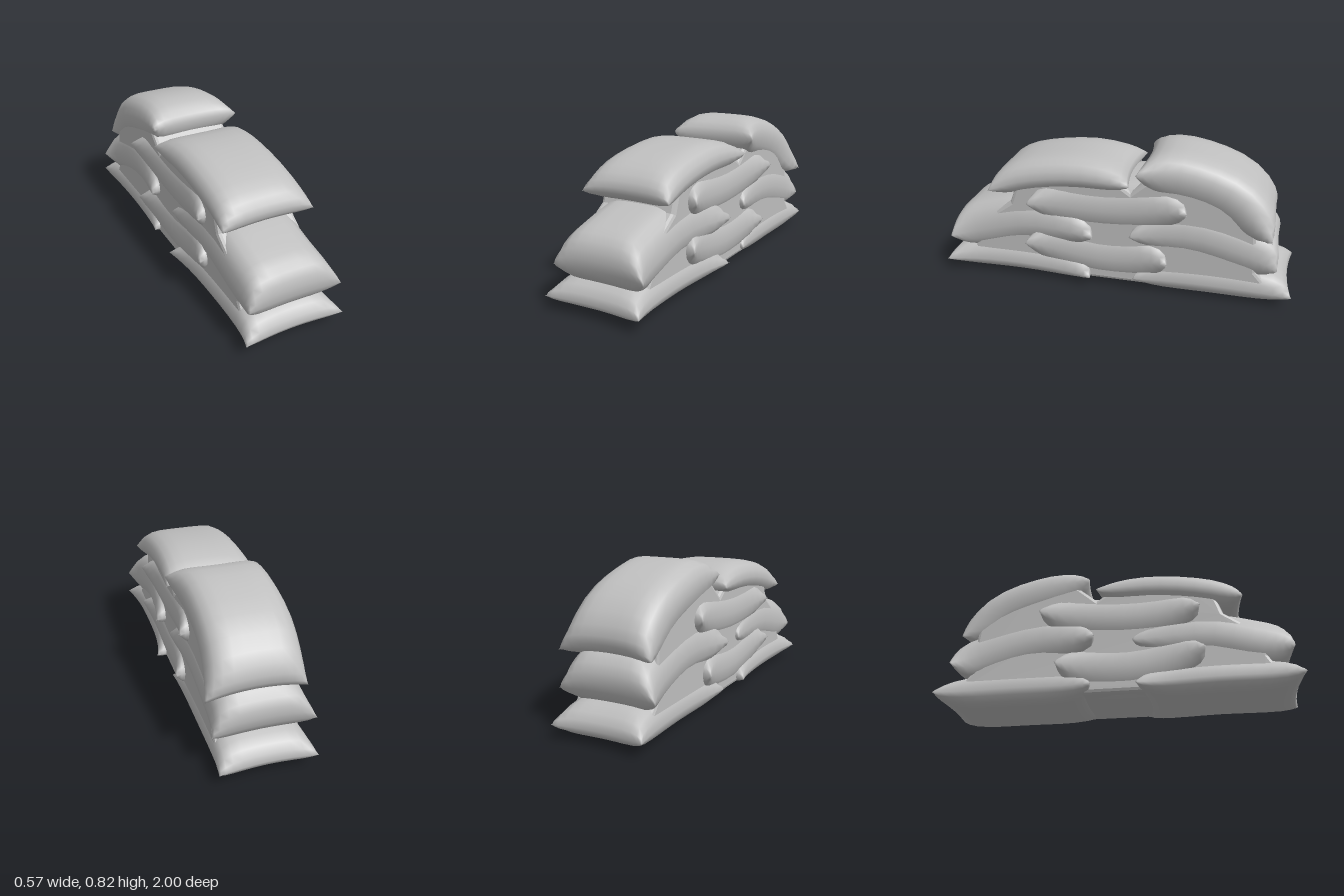
import * as THREE from 'three';
import { mergeGeometries, mergeVertices } from 'three/addons/utils/BufferGeometryUtils.js';

const NU = 14, NV = 12;
// Spread grid lines towards the rim so the pillow edge stays round
const spread = t => Math.sin(t * Math.PI / 2);

// Stuffed sack: spine is a list of [z, y] seam points; up/down are bulge heights
function sackGeometry({ spine, up, down, left, right, pinch }) {
  const curve = new THREE.CatmullRomCurve3(spine.map(([z, y]) => new THREE.Vector3(0, y, z)));
  const sheets = [1, -1].map(side => {
    const g = new THREE.PlaneGeometry(2, 2, NV, NU);
    const p = g.attributes.position;
    for (let i = 0; i < p.count; i++) {
      const v = spread(p.getX(i)), u = spread(p.getY(i));
      const rim = Math.abs(u) > 0.9999 || Math.abs(v) > 0.9999;
      const bulge = rim ? 0 : Math.sqrt((1 - u ** 4) * (1 - Math.abs(v) ** 5));
      // Corners stick out as ears, edges pull in
      const along = u * (1 - 0.06 * (1 - v * v));
      const c = curve.getPoint((1 - along) / 2);
      const t = curve.getTangent((1 - along) / 2);
      const h = bulge * (side > 0 ? up : -down);
      const half = (right + left) / 2 * (1 - pinch * (1 - u ** 4));
      p.setXYZ(i, (left - right) / 2 * u * u + v * half, c.y - t.z * h, c.z + t.y * h);
    }
    // The grid maps face-down, so the upper sheet is turned over
    if (side > 0) {
      const ix = g.index.array;
      for (let k = 0; k < ix.length; k += 3) [ix[k], ix[k + 1]] = [ix[k + 1], ix[k]];
    }
    g.deleteAttribute('uv');
    g.deleteAttribute('normal');
    return g;
  });
  const geo = mergeVertices(mergeGeometries(sheets), 1e-4);
  geo.computeVertexNormals();
  return geo;
}

export function createModel() {
  const cloth = new THREE.MeshStandardMaterial({ color: 0xc0c0c0 });
  cloth.name = 'greySackcloth';
  const group = new THREE.Group();
  group.name = 'sandbagStack';

  const sacks = {
    // Ground layer
    bottomFrontSandbag: { spine: [[1, 0.08], [0.55, 0.09], [0.12, 0.07]], up: 0.125, down: 0.075, left: 0.285, right: 0.28, pinch: 0.14 },
    bottomBackSandbag: { spine: [[-0.12, 0.08], [-0.55, 0.09], [-1, 0.08]], up: 0.125, down: 0.088, left: 0.25, right: 0.265, pinch: 0.08 },
    // Second layer, the middle sack sagging between its neighbours
    lowerMiddleSandbag: { spine: [[0.5, 0.25], [0.08, 0.18], [-0.32, 0.21]], up: 0.16, down: 0.155, left: 0.285, right: 0.28, pinch: 0.14 },
    middleFrontSandbag: { spine: [[0.96, 0.24], [0.78, 0.28], [0.5, 0.345], [0.1, 0.33]], up: 0.16, down: 0.14, left: 0.285, right: 0.25, pinch: 0.1 },
    middleBackSandbag: { spine: [[-0.1, 0.35], [-0.45, 0.37], [-0.72, 0.31], [-0.91, 0.24]], up: 0.16, down: 0.15, left: 0.26, right: 0.285, pinch: 0.12 },
    // Upper layer
    upperMiddleSandbag: { spine: [[0.48, 0.5], [0.05, 0.48], [-0.42, 0.53]], up: 0.155, down: 0.15, left: 0.285, right: 0.28, pinch: 0.14 },
    topFrontSandbag: { spine: [[0.71, 0.55], [0.5, 0.62], [0.22, 0.66], [-0.1, 0.65]], up: 0.1, down: 0.09, left: 0.265, right: 0.26, pinch: 0.05 },
    topBackSandbag: { spine: [[-0.14, 0.73], [-0.4, 0.7], [-0.66, 0.61], [-0.87, 0.42]], up: 0.12, down: 0.15, left: 0.285, right: 0.24, pinch: 0.08 },
  };
  for (const [name, spec] of Object.entries(sacks)) {
    const mesh = new THREE.Mesh(sackGeometry(spec), cloth);
    mesh.name = name;
    group.add(mesh);
  }

  // Packed filling that closes the hollows between the sacks, as a [z, y] outline
  const outline = [
    [0.9, 0.06], [0.82, 0.2], [0.84, 0.3], [0.6, 0.47], [0.56, 0.58], [0.4, 0.66], [0, 0.67], [-0.1, 0.6], [-0.24, 0.72],
    [-0.45, 0.75], [-0.65, 0.65], [-0.78, 0.48], [-0.8, 0.3], [-0.8, 0.2], [-0.9, 0.08], [-0.8, 0.04], [0.8, 0.04],
  ];
  const depth = 0.41, bevel = 0.02;
  const filling = new THREE.ExtrudeGeometry(
    new THREE.Shape(outline.map(([z, y]) => new THREE.Vector2(-z, y))),
    { depth, bevelThickness: bevel, bevelSize: bevel, bevelOffset: -bevel, bevelSegments: 2 });
  filling.translate(0, 0, -depth / 2).rotateY(Math.PI / 2);
  const core = new THREE.Mesh(filling, cloth);
  core.name = 'packedFilling';
  group.add(core);
  return group;
}
